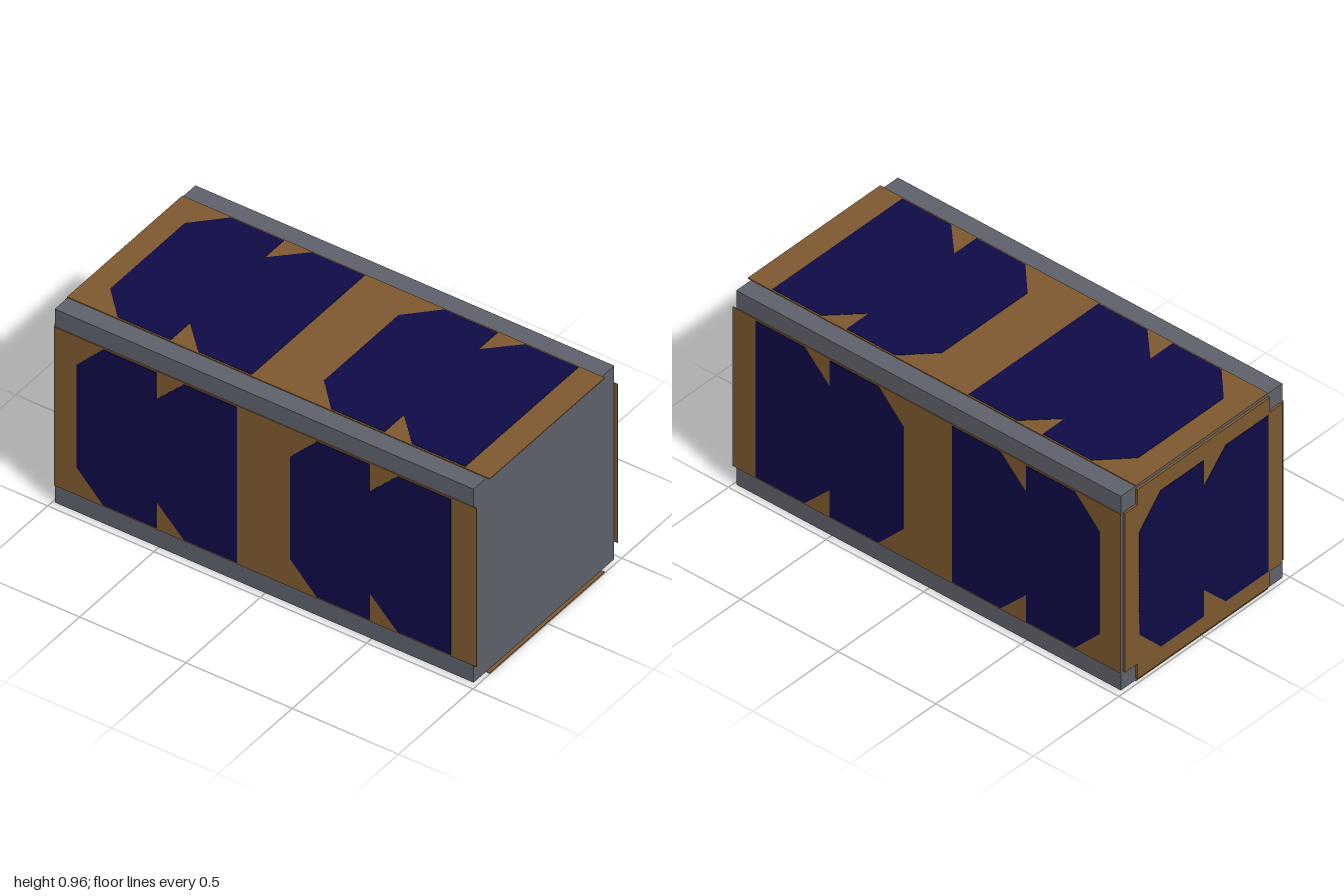
import * as THREE from 'three';

const H = 0.4725;          // half width of the square body
const CY = 0.48;           // height of the body axis
const X0 = -0.986, X1 = 0.984;
const PANEL = 0.004, CELL = 0.002;

const bodyMat = new THREE.MeshStandardMaterial({ color: 0x5d6069 });
const boardMat = new THREE.MeshStandardMaterial({ color: 0x7d582e });
const cellMat = new THREE.MeshStandardMaterial({ color: 0x0e0b46 });

// Flat plate from outline points, lying at depth z
function plate(name, points, depth, z, material) {
  const shape = new THREE.Shape(points.map(([x, y]) => new THREE.Vector2(x, y)));
  const geo = new THREE.ExtrudeGeometry(shape, { depth, bevelEnabled: false });
  geo.translate(0, 0, z);
  const mesh = new THREE.Mesh(geo, material);
  mesh.name = name;
  return mesh;
}

// Pair of solar cells with clipped corners, starting at x
function cellPair(x, z) {
  const top = [[0, 0.25], [0.125, 0.38], [0.375, 0.38], [0.375, 0.25], [0.505, 0.38], [0.755, 0.38]];
  const bottom = top.map(([u, v]) => [u, -v]).reverse();
  const outline = [...bottom, ...top].map(([u, v]) => [x + u, v]);
  return plate('solarCells', outline, CELL, z, cellMat);
}

export function createModel() {
  const model = new THREE.Group();
  model.name = 'smallSatellite';

  // Main box with its corner rails
  const body = new THREE.Mesh(new THREE.BoxGeometry(X1 - X0, 2 * H, 2 * H), bodyMat);
  body.name = 'body';
  body.position.set((X0 + X1) / 2, CY, 0);
  model.add(body);

  // Four long solar panels around the body
  ['frontPanel', 'bottomPanel', 'backPanel', 'topPanel'].forEach((name, i) => {
    const side = new THREE.Group();
    side.name = name;
    const a = -0.988, b = 1.0, h = 0.387;
    side.add(plate('circuitBoard', [[a, -h], [b, -h], [b, h], [a, h]], PANEL, H, boardMat));
    for (const x of [-0.88, 0.125]) side.add(cellPair(x, H + PANEL));
    side.rotation.x = i * Math.PI / 2;
    side.position.y = CY;
    model.add(side);
  });

  // End panel, notched at the corners to clear the rails
  const end = new THREE.Group();
  end.name = 'endPanel';
  const o = 0.46, n = 0.387;
  const cross = [[-n, -o], [n, -o], [n, -n], [o, -n], [o, n], [n, n],
    [n, o], [-n, o], [-n, n], [-o, n], [-o, -n], [-n, -n]];
  end.add(plate('endBoard', cross, 0.011, -X0, boardMat));
  end.add(cellPair(-0.3775, -X0 + 0.011));
  end.rotation.y = -Math.PI / 2;
  end.position.y = CY;
  model.add(end);

  return model;
}
